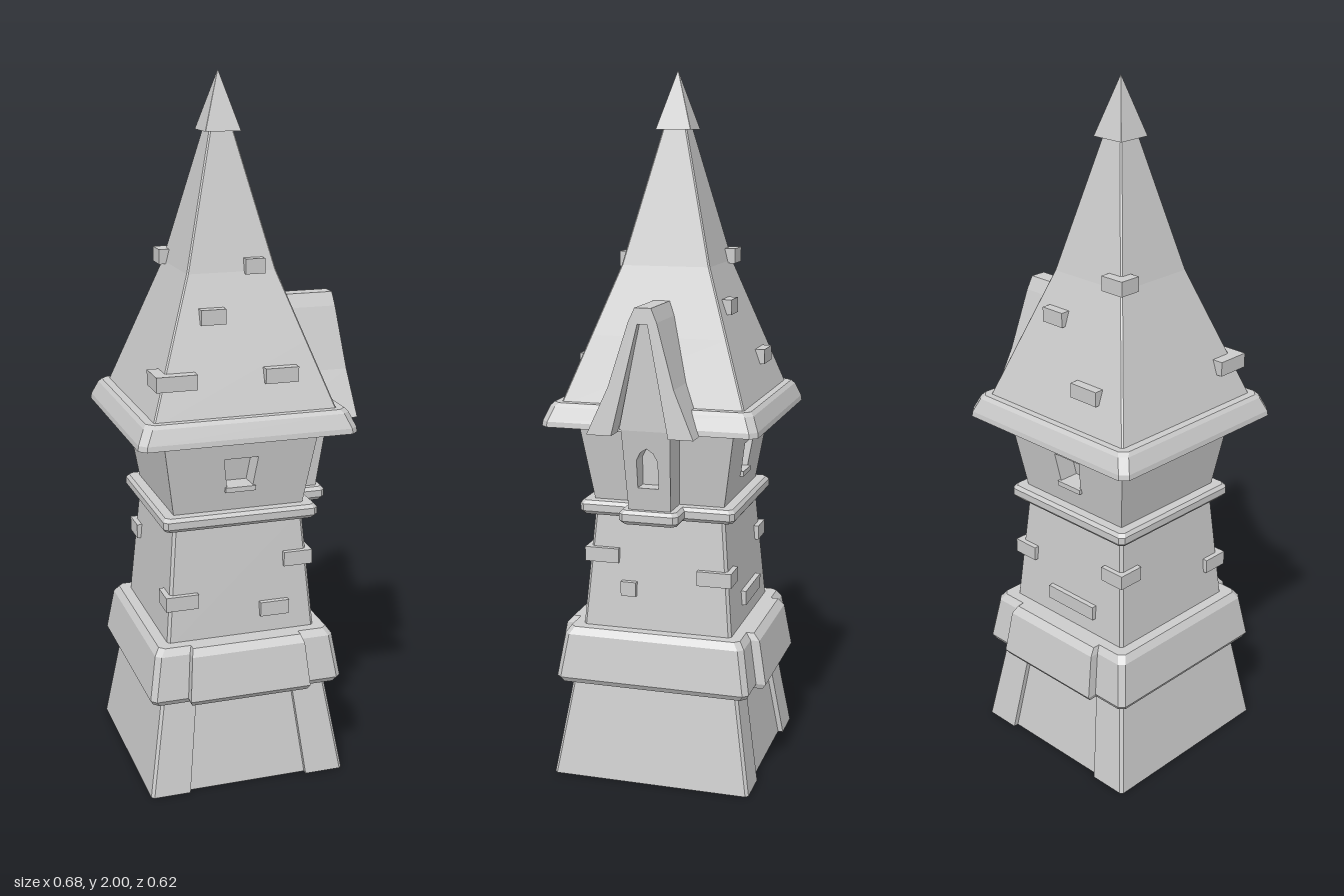
import * as THREE from 'three';

const grey = new THREE.MeshStandardMaterial({ color: 0xcccccc, flatShading: true });
const greyDouble = new THREE.MeshStandardMaterial({ color: 0xcccccc, flatShading: true, side: THREE.DoubleSide });

// rectangle outline with chamfered corners
function rect(hx, hz, c) {
  return [[hx - c, hz], [hx, hz - c], [hx, -hz + c], [hx - c, -hz],
    [-hx + c, -hz], [-hx, -hz + c], [-hx, hz - c], [-hx + c, hz]];
}

// rectangle whose front and back have a middle panel stepped by d
function stepped(hx, hz, px, d, c) {
  const quarter = [[px, hz + d], [px, hz], [hx - c, hz], [hx, hz - c]];
  const right = [...quarter, ...quarter.map(([x, z]) => [x, -z]).reverse()];
  return [...right, ...right.map(([x, z]) => [-x, z]).reverse()];
}

// skin a stack of [y, outline] rings, with flat caps
function loft(name, rings, { bottom = true, top = true, material = grey } = {}) {
  const n = rings[0][1].length, pos = [], idx = [];
  for (const [y, ring] of rings) for (const [x, z] of ring) pos.push(x, y, z);
  for (let r = 0; r < rings.length - 1; r++) {
    for (let i = 0; i < n; i++) {
      const a = r * n + i, b = r * n + (i + 1) % n;
      idx.push(a, b, b + n, a, b + n, a + n);
    }
  }
  const cap = (r, up) => {
    const contour = rings[r][1].map(([x, z]) => new THREE.Vector2(x, z));
    for (const [a, b, c] of THREE.ShapeUtils.triangulateShape(contour, [])) {
      const p = contour[a], q = contour[b], s = contour[c];
      const facesDown = (q.x - p.x) * (s.y - p.y) - (q.y - p.y) * (s.x - p.x) > 0;
      const o = r * n;
      if (facesDown === up) idx.push(o + a, o + c, o + b);
      else idx.push(o + a, o + b, o + c);
    }
  };
  if (bottom) cap(0, false);
  if (top) cap(rings.length - 1, true);
  let g = new THREE.BufferGeometry();
  g.setAttribute('position', new THREE.Float32BufferAttribute(pos, 3));
  g.setIndex(idx);
  g = g.toNonIndexed();
  g.computeVertexNormals();
  const m = new THREE.Mesh(g, material);
  m.name = name;
  return m;
}

// upright slab from depth back to a leaning face front(y), turned about y
function slab(name, points, hole, back, front, turn) {
  const shape = new THREE.Shape(points.map(p => new THREE.Vector2(...p)));
  if (hole) shape.holes.push(new THREE.Path(hole.map(p => new THREE.Vector2(...p))));
  const g = new THREE.ExtrudeGeometry(shape, { depth: 1, bevelEnabled: false });
  const p = g.attributes.position;
  for (let i = 0; i < p.count; i++) p.setZ(i, p.getZ(i) > 0.5 ? front(p.getY(i)) : back);
  g.rotateY(turn);
  g.computeVertexNormals();
  const m = new THREE.Mesh(g, grey);
  m.name = name;
  return m;
}

const neckHalf = y => 0.22 - (y - 0.44) * 0.09;
const roomHalf = y => 0.19 + (y - 0.81) * 0.155;
const roofHalf = y => y < 1.47 ? 0.26 - (y - 1.1) * 0.358 : 0.1275 - (y - 1.47) * 0.25;

export function createModel() {
  const model = new THREE.Group();
  model.name = 'tower';
  const body = new THREE.Group();
  body.name = 'towerBody';
  body.position.x = -0.03;
  model.add(body);
  const add = m => body.add(m);

  // hollow base with corner posts, and the heavy band above it
  add(loft('base', [
    [0, stepped(0.29, 0.29, 0.176, -0.015, 0.008)],
    [0.29, stepped(0.243, 0.243, 0.142, -0.015, 0.008)],
  ], { bottom: false, top: false, material: greyDouble }));
  add(loft('lowerBand', [
    [0.28, stepped(0.275, 0.275, 0.172, 0.026, 0.015)],
    [0.295, stepped(0.284, 0.284, 0.178, 0.028, 0.015)],
    [0.42, stepped(0.264, 0.264, 0.167, 0.026, 0.015)],
    [0.44, stepped(0.25, 0.25, 0.16, 0.022, 0.015)],
  ]));

  // neck and slim upper band
  add(loft('neck', [[0.43, rect(0.22, 0.22, 0.008)], [0.78, rect(0.19, 0.19, 0.008)]]));
  const slim = (hx, hz) => [[0.77, rect(hx - 0.008, hz - 0.008, 0.012)], [0.78, rect(hx, hz, 0.012)],
    [0.8, rect(hx, hz, 0.012)], [0.81, rect(hx - 0.008, hz - 0.008, 0.012)]];
  add(loft('upperBand', slim(0.226, 0.226)));
  const ledge = loft('orielLedge', slim(0.08, 0.085));
  ledge.position.x = 0.222;
  add(ledge);

  // room: solid core with a pierced wall at front and back
  const y0 = 0.8, y1 = 1.05;
  const core = y => [y, rect(roomHalf(y), roomHalf(y) - 0.06, 0.002)];
  add(loft('roomCore', [core(y0), core(y1)]));
  const wall = [[-roomHalf(y0), y0], [roomHalf(y0), y0], [roomHalf(y1), y1], [-roomHalf(y1), y1]];
  const opening = [[-0.038, 0.88], [0.038, 0.88], [0.05, 0.965], [-0.05, 0.965]];
  add(slab('frontWall', wall, opening, 0.12, roomHalf, 0));
  add(slab('backWall', wall, opening, 0.12, roomHalf, Math.PI));
  for (const s of [1, -1]) {
    const sill = new THREE.Mesh(new THREE.BoxGeometry(0.088, 0.014, 0.05), grey);
    sill.name = 'windowSill';
    sill.position.set(0, 0.873, s * 0.184);
    add(sill);
  }

  // eaves, roof and finial
  add(loft('eaves', [
    [1.035, rect(0.312, 0.308, 0.02)],
    [1.05, rect(0.31, 0.306, 0.02)],
    [1.09, rect(0.292, 0.29, 0.02)],
    [1.1, rect(0.283, 0.28, 0.02)],
  ]));
  add(loft('roof', [1.09, 1.28, 1.47, 1.85].map(y => [y, rect(roofHalf(y), roofHalf(y), 0.004)])));
  add(loft('finial', [[1.84, rect(0.051, 0.051, 0.001)], [2, rect(0.0006, 0.0006, 0.0002)]]));

  // oriel with pointed window under the dormer
  const quarter = Math.PI / 2;
  const orielFront = y => 0.28 + (y - 0.81) * 0.152;
  const orielShape = [[-0.06, 0.8], [0.06, 0.8], [0.07, 1.045], [-0.07, 1.045]];
  const arch = [[-0.03, 0.875], [0.03, 0.875], [0.03, 0.955], [0.018, 0.978],
    [0, 0.99], [-0.018, 0.978], [-0.03, 0.955]];
  add(slab('orielCore', orielShape, null, 0.1, () => 0.245, quarter));
  add(slab('orielWall', orielShape, arch, 0.245, orielFront, quarter));
  add(slab('dormerGable', [[-0.075, 1.04], [0.075, 1.04], [0.012, 1.35], [-0.012, 1.35]],
    null, 0.1, () => 0.316, quarter));

  // steep dormer roof, an upside-down V leaning outward at its foot
  const leg = [[0.023, 1.378], [0.04, 1.34], [0.092, 1.165], [0.15, 1.034], [0.08, 1.034], [0.014, 1.335]];
  const vee = [...leg, ...leg.map(([u, v]) => [-u, v]).reverse()].reverse();
  add(slab('dormerRoof', vee, null, 0.13, y => 0.335 + (1.378 - y) * 0.102, quarter));

  // raised stones: face turn, height, and span along the face
  const F = 0, R = quarter, B = Math.PI, L = -quarter;
  function stone(half, out, turn, y, a, b, name) {
    const outer = half(y) + out, depth = 0.055;
    const g = new THREE.BoxGeometry(b - a, 0.042, depth);
    g.translate((a + b) / 2, y, outer - depth / 2);
    g.rotateY(turn);
    const m = new THREE.Mesh(g, grey);
    m.name = name;
    add(m);
  }
  // corner stone on the right-hand end of one face and the left-hand end of the next
  function corner(half, out, turn, y, la, lb, name) {
    const o = half(y) + out;
    stone(half, out, turn, y, o - la, o, name);
    stone(half, out, turn + quarter, y, -o, -o + lb, name);
  }
  const n = 'wallStone', t = 'roofTile';
  stone(neckHalf, 0.013, F, 0.51, 0.055, 0.14, n);
  stone(neckHalf, 0.013, R, 0.557, -0.105, -0.06, n);
  stone(neckHalf, 0.013, B, 0.51, -0.07, 0.11, n);
  corner(neckHalf, 0.013, F, 0.65, 0.085, 0.1, n);
  corner(neckHalf, 0.013, R, 0.605, 0.1, 0.08, n);
  corner(neckHalf, 0.013, B, 0.65, 0.08, 0.08, n);
  corner(neckHalf, 0.013, L, 0.557, 0.08, 0.095, n);

  stone(roofHalf, 0.02, F, 1.2, 0.06, 0.155, t);
  stone(roofHalf, 0.02, F, 1.36, -0.105, -0.035, t);
  stone(roofHalf, 0.02, F, 1.485, 0.035, 0.09, t);
  stone(roofHalf, 0.02, B, 1.2, 0.05, 0.145, t);
  stone(roofHalf, 0.02, B, 1.36, -0.115, -0.04, t);
  corner(roofHalf, 0.025, B, 1.485, 0.075, 0.065, t);
  corner(roofHalf, 0.025, L, 1.2, 0.1, 0.115, t);

  return model;
}
